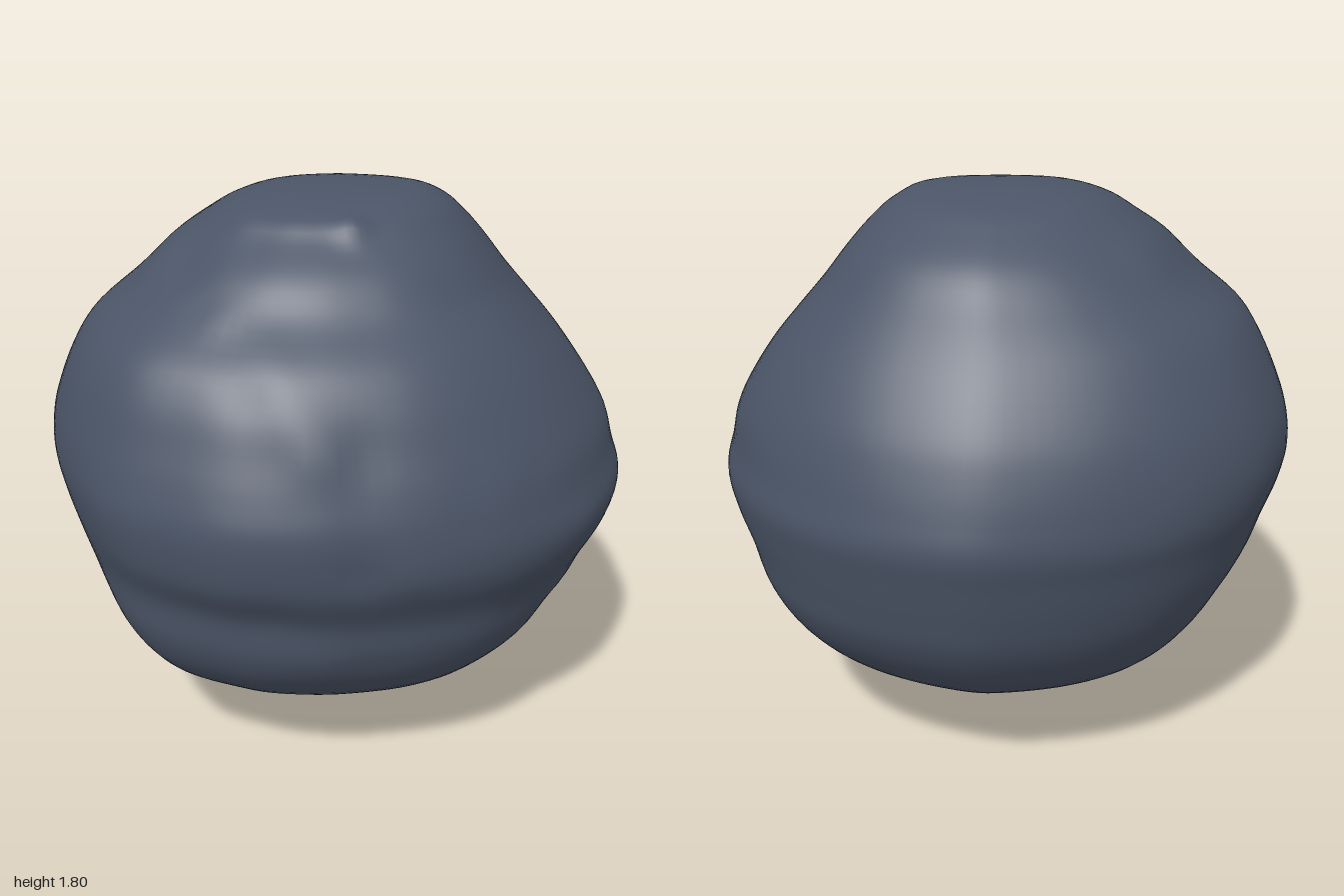
import * as THREE from 'three';
import { mergeVertices } from 'three/addons/utils/BufferGeometryUtils.js';

// Plan outline of the boulder, as [x, z]
const PLAN = [
  [-0.13, -1], [0.15, -0.98], [0.4, -0.88], [0.6, -0.73], [0.79, -0.5], [0.91, -0.25], [0.96, 0],
  [0.93, 0.25], [0.83, 0.5], [0.68, 0.69], [0.5, 0.82], [0.3, 0.91], [0.1, 0.97], [-0.13, 0.99],
  [-0.3, 0.95], [-0.5, 0.87], [-0.63, 0.75], [-0.8, 0.52], [-0.93, 0.25], [-0.97, 0],
  [-0.96, -0.2], [-0.89, -0.45], [-0.74, -0.67], [-0.54, -0.83], [-0.3, -0.95],
];

// Extents at each height: [y, -x, +x, -z, +z]
const LEVELS = [
  [0.01, 0, 0, 0, 0], [0.03, 0.17, 0.22, 0.17, 0.24], [0.1, 0.29, 0.37, 0.31, 0.36],
  [0.2, 0.46, 0.52, 0.5, 0.5], [0.32, 0.64, 0.64, 0.7, 0.7], [0.44, 0.74, 0.75, 0.83, 0.82],
  [0.56, 0.81, 0.83, 0.91, 0.88], [0.68, 0.87, 0.88, 0.95, 0.91], [0.8, 0.91, 0.94, 0.98, 0.97],
  [0.9, 0.945, 0.96, 1, 0.99], [1, 0.965, 0.93, 0.98, 0.99], [1.1, 0.955, 0.9, 0.95, 0.96],
  [1.2, 0.92, 0.84, 0.91, 0.92], [1.32, 0.86, 0.75, 0.84, 0.87], [1.42, 0.79, 0.66, 0.77, 0.8],
  [1.52, 0.67, 0.57, 0.69, 0.67], [1.62, 0.55, 0.49, 0.61, 0.58], [1.7, 0.45, 0.42, 0.5, 0.47],
  [1.76, 0.35, 0.35, 0.39, 0.39], [1.8, 0.21, 0.25, 0.2, 0.22], [1.81, 0, 0, 0, 0],
];

// Soft ridges (+) and dents (-): [from], [to], radius, height
const MARKS = [
  [[-0.2, 1.5, 0.66], [0.1, 1.2, 0.86], 0.08, 0.015],     // ridge down the front
  [[0.22, 0.9, 0.9], [0.2, 1.2, 0.8], 0.07, -0.012],      // upright groove
  [[0.35, 0.87, 0.85], [0.8, 0.9, 0.45], 0.07, 0.012],    // ledge on the front left
  [[0.5, 1, 0.75], [0.5, 1.1, 0.72], 0.045, -0.012],      // row of small notches
  [[0.65, 1, 0.6], [0.65, 1.1, 0.58], 0.045, -0.012],
  [[-0.5, 0.6, 0.7], [0.1, 0.56, 0.85], 0.1, 0.012],      // lower shelf
  [[-0.45, 0.78, 0.8], [-0.05, 0.74, 0.9], 0.1, -0.012],
  [[0.65, 0.62, 0.55], [0.82, 0.48, 0.1], 0.08, -0.012],  // arc on the side
  [[-0.5, 1.6, -0.3], [-0.48, 1.6, 0.3], 0.09, 0.012],    // crest on the top
  [[-0.36, 1.6, 0.45], [-0.33, 1.6, 0.48], 0.1, -0.02],
  [[0.12, 1.74, 0.4], [0.12, 1.74, 0.42], 0.05, 0.018],   // small knob
  [[-0.15, 1.45, 0.72], [-0.1, 1.35, 0.8], 0.08, -0.015],
];

function buildSurface() {
  const rows = 84;
  const cols = 120;
  const plan = new THREE.CatmullRomCurve3(
    PLAN.map(([x, z]) => new THREE.Vector3(x, 0, z)), true).getSpacedPoints(cols).slice(0, cols);
  const sides = [1, 2, 3, 4].map(
    (k) => new THREE.SplineCurve(LEVELS.map((l) => new THREE.Vector2(l[k], l[0]))));
  const marks = MARKS.map(([a, b, radius, height]) => ({
    line: new THREE.Line3(new THREE.Vector3(...a), new THREE.Vector3(...b)), radius, height,
  }));
  const centre = new THREE.Vector3(0, 0.9, 0);
  const near = new THREE.Vector3();
  const positions = [];
  const index = [];

  for (let i = 0; i <= rows; i++) {
    const [left, right, back, front] = sides.map((s) => s.getPoint(i / rows));
    const shoulder = THREE.MathUtils.smoothstep(Math.abs(left.y - 0.9), 0, 0.6);
    for (let j = 0; j < cols; j++) {
      const { x, z } = plan[j];
      // Fuller corners above and below the middle, mostly across one diagonal
      const diagonal = Math.sin(2 * Math.atan2(z, x)) ** 2;
      const swell = 1 + diagonal * (x * z < 0 ? 0.015 + 0.06 * shoulder : 0.015 * shoulder);
      const p = new THREE.Vector3(
        swell * (x > 0 ? x / 0.96 * right.x : x / 0.97 * left.x),
        left.y,
        swell * (z > 0 ? z / 0.99 * front.x : z * back.x));
      let push = 0;
      for (const m of marks) {
        m.line.closestPointToPoint(p, true, near);
        push += m.height * Math.exp(-near.distanceToSquared(p) / (m.radius * m.radius));
      }
      p.addScaledVector(p.clone().sub(centre).normalize(), push);
      positions.push(p.x, p.y, p.z);
      if (i < rows) {
        const a = i * cols + j;
        const b = i * cols + (j + 1) % cols;
        index.push(a, a + cols, b + cols, a, b + cols, b);
      }
    }
  }
  let geometry = new THREE.BufferGeometry();
  geometry.setAttribute('position', new THREE.Float32BufferAttribute(positions, 3));
  geometry.setIndex(index);
  geometry = mergeVertices(geometry, 1e-5);
  geometry.computeVertexNormals();
  return geometry;
}

export function createModel() {
  const slate = new THREE.MeshStandardMaterial({ color: 0x4b5567 });
  slate.name = 'slate';
  const boulder = new THREE.Mesh(buildSurface(), slate);
  boulder.name = 'boulder';
  const group = new THREE.Group();
  group.name = 'rock';
  group.add(boulder);
  return group;
}
